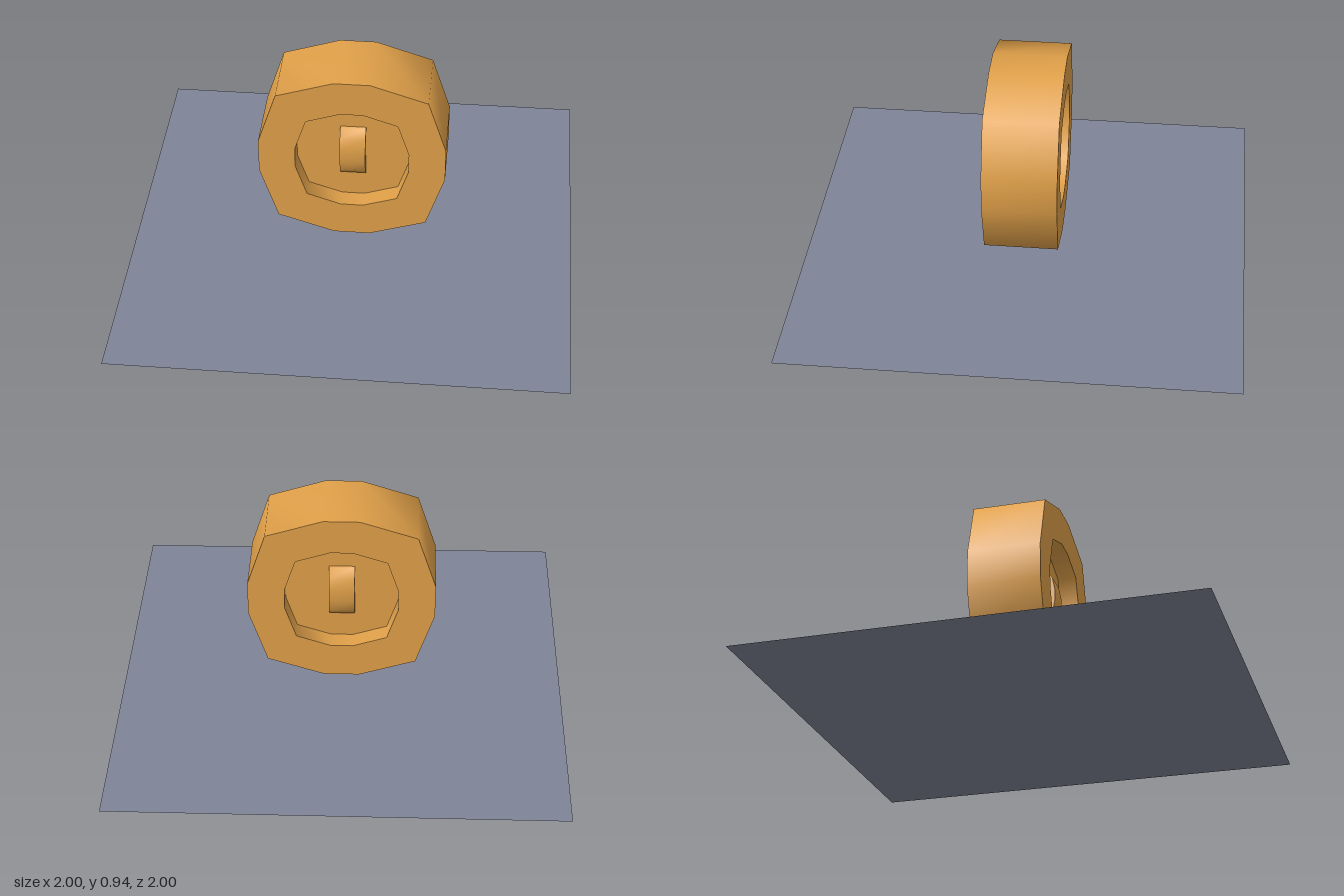
import * as THREE from 'three';
import { toCreasedNormals } from 'three/addons/utils/BufferGeometryUtils.js';

const CREASE = 1.1; // keeps cap edges sharp, rounds the rim

// Twelve-sided rounded outline: half width r, half flat f, diagonal corner d
function outline(r, f, d, PathType) {
  const corner = [[r, f], [d, d], [f, r]];
  const mirrored = corner.map(([x, y]) => [-x, y]).reverse();
  const upper = [...corner, ...mirrored];
  const lower = upper.map(([x, y]) => [-x, -y]);
  return new PathType([...upper, ...lower].map(([x, y]) => new THREE.Vector2(x, y)));
}

// Extrusion centred on its own depth
function slab(shape, depth) {
  const geo = new THREE.ExtrudeGeometry(shape, { depth, bevelEnabled: false });
  geo.translate(0, 0, -depth / 2);
  return toCreasedNormals(geo, CREASE);
}

function part(name, geometry, material) {
  const mesh = new THREE.Mesh(geometry, material);
  mesh.name = name;
  return mesh;
}

export function createModel() {
  const amber = new THREE.MeshStandardMaterial({ color: 0xe0a049 });
  amber.name = 'amber';
  const slate = new THREE.MeshStandardMaterial({ color: 0x7f8498, side: THREE.DoubleSide });
  slate.name = 'slate';

  const model = new THREE.Group();
  model.name = 'wheelOnGround';

  // Thin square ground sheet
  const ground = part('ground', new THREE.PlaneGeometry(2, 2), slate);
  ground.rotation.x = -Math.PI / 2;
  model.add(ground);

  const wheel = new THREE.Group();
  wheel.name = 'wheel';
  wheel.position.y = 0.52;
  model.add(wheel);

  // Thick outer ring
  const ring = outline(0.415, 0.08, 0.333, THREE.Shape);
  ring.holes.push(outline(0.252, 0.05, 0.202, THREE.Path));
  wheel.add(part('rim', slab(ring, 0.33), amber));

  // Recessed web closing the ring
  wheel.add(part('web', slab(outline(0.252, 0.05, 0.202, THREE.Shape), 0.16), amber));

  // Rounded hub bar on each side; profile is (outward, up)
  const half = [[0.07, 0.127], [0.093, 0.122], [0.122, 0.085], [0.133, 0.028]];
  const profile = [...half.map(([z, y]) => [z, -y]), ...[...half].reverse()];
  const barShape = new THREE.Shape(profile.map(([z, y]) => new THREE.Vector2(z, y)));
  for (const side of [1, -1]) {
    const bar = part(side > 0 ? 'frontHubBar' : 'backHubBar', slab(barShape, 0.114), amber);
    bar.rotation.y = -side * Math.PI / 2;
    wheel.add(bar);
  }
  return model;
}
